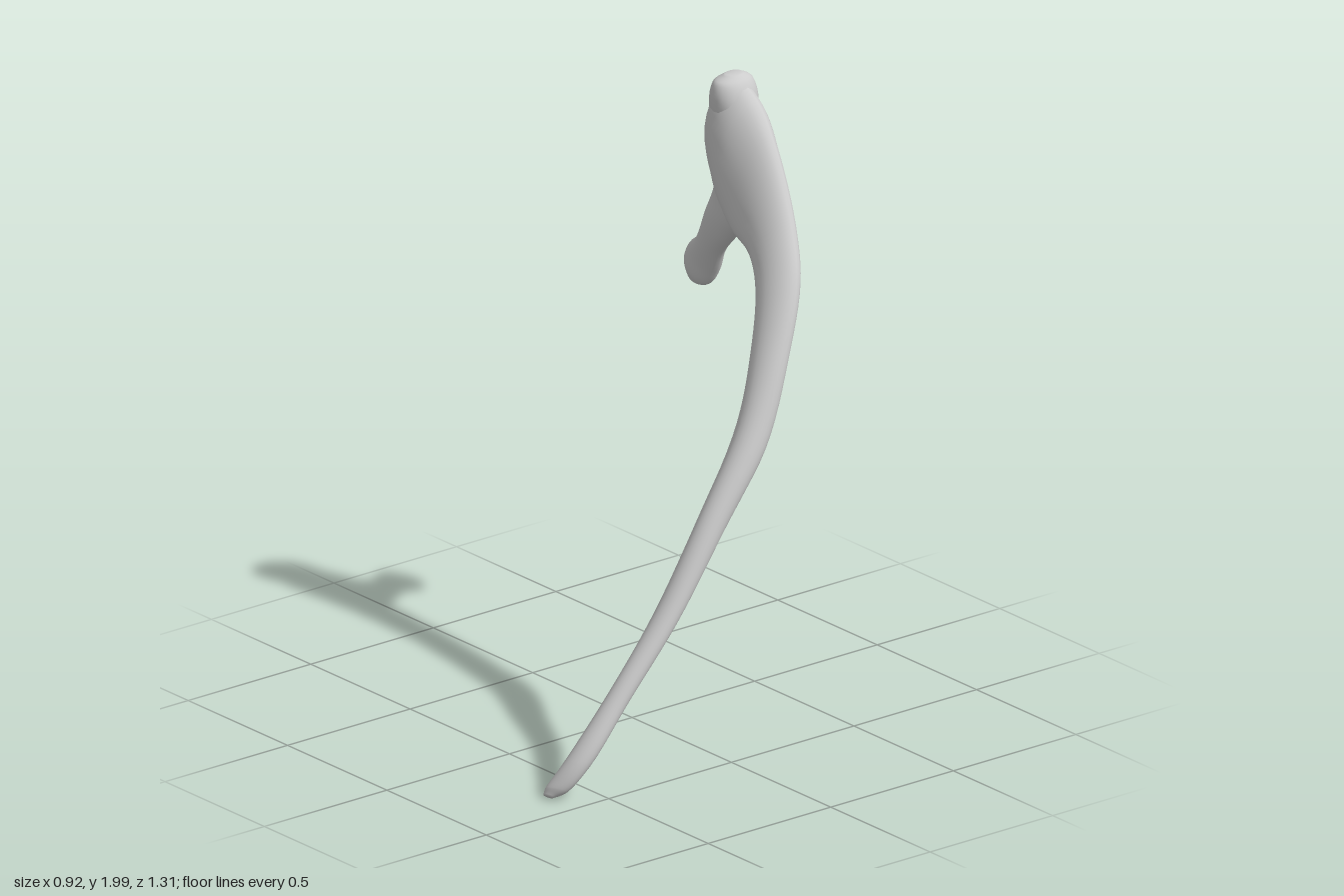
import * as THREE from 'three';

const material = new THREE.MeshStandardMaterial({ color: 0xcccccc });
const V = (x, y, z) => new THREE.Vector3(x, y, z);

// Lofts oval sections, each given by its two edge points and its half thickness.
function loft(name, sections, steps = 6, sides = 24) {
  const spline = (f) => new THREE.CatmullRomCurve3(sections.map(f));
  const edgeA = spline((s) => V(s[0], s[1], s[2]));
  const edgeB = spline((s) => V(s[3], s[4], s[5]));
  const middle = spline((s) => V(s[0] + s[3], s[1] + s[4], s[2] + s[5]).multiplyScalar(0.5));
  const thick = spline((s, i) => V(i * 0.1, s[6], 0));
  const rings = (sections.length - 1) * steps;
  const positions = [], index = [];
  for (let i = 0; i <= rings; i++) {
    const u = i / rings;
    const a = edgeA.getPoint(u), b = edgeB.getPoint(u);
    const centre = a.clone().add(b).multiplyScalar(0.5);
    const wide = a.sub(b).multiplyScalar(0.5);
    const thin = middle.getTangent(u).cross(wide).normalize().multiplyScalar(Math.max(0.002, thick.getPoint(u).y));
    for (let j = 0; j < sides; j++) {
      const t = (j / sides) * Math.PI * 2;
      const p = centre.clone().addScaledVector(wide, Math.cos(t)).addScaledVector(thin, Math.sin(t));
      positions.push(p.x, p.y, p.z);
      if (i < rings) {
        const k = i * sides, n = (j + 1) % sides;
        index.push(k + j, k + n, k + sides + j, k + n, k + sides + n, k + sides + j);
      }
    }
  }
  // Close both ends with a fan.
  for (const ring of [0, rings]) {
    const pole = positions.length / 3, k = ring * sides, c = V(0, 0, 0);
    for (let j = 0; j < sides; j++) c.add(V(...positions.slice((k + j) * 3, (k + j) * 3 + 3)));
    c.divideScalar(sides);
    positions.push(c.x, c.y, c.z);
    for (let j = 0; j < sides; j++) {
      const n = (j + 1) % sides;
      if (ring === 0) index.push(pole, k + n, k + j);
      else index.push(pole, k + j, k + n);
    }
  }
  const geometry = new THREE.BufferGeometry();
  geometry.setAttribute('position', new THREE.Float32BufferAttribute(positions, 3));
  geometry.setIndex(index);
  geometry.computeVertexNormals();
  const mesh = new THREE.Mesh(geometry, material);
  mesh.name = name;
  return mesh;
}

export function createModel() {
  const group = new THREE.Group();
  group.name = 'ribBone';

  // Long curved shaft, widening into the blade at the top: outer edge, inner edge, half thickness
  group.add(loft('shaft', [
    [0.395, 0.01, 0.645, 0.362, 0.012, 0.655, 0.01],
    [0.427, 0.035, 0.61, 0.356, 0.03, 0.64, 0.024],
    [0.456, 0.12, 0.54, 0.372, 0.1, 0.58, 0.033],
    [0.457, 0.3, 0.385, 0.385, 0.3, 0.405, 0.033],
    [0.457, 0.52, 0.195, 0.37, 0.52, 0.2, 0.037],
    [0.442, 0.78, -0.01, 0.35, 0.79, 0.005, 0.047],
    [0.418, 1.0, -0.205, 0.31, 1.06, -0.18, 0.054],
    [0.37, 1.26, -0.335, 0.25, 1.25, -0.285, 0.048],
    [0.3, 1.47, -0.44, 0.17, 1.42, -0.37, 0.046],
    [0.2, 1.62, -0.5, 0.08, 1.5, -0.418, 0.05],
    [0.03, 1.82, -0.56, -0.04, 1.535, -0.45, 0.06],
    [-0.1, 1.93, -0.59, -0.15, 1.6, -0.49, 0.08],
    [-0.19, 1.98, -0.58, -0.24, 1.7, -0.54, 0.075],
    [-0.235, 1.93, -0.58, -0.258, 1.8, -0.56, 0.045],
  ]));

  // Head and neck plate running down to the knobbed end: inner edge, outer edge, half thickness
  group.add(loft('headAndNeck', [
    [-0.22, 1.998, -0.575, -0.18, 1.998, -0.575, 0.03],
    [-0.25, 1.975, -0.575, -0.15, 1.975, -0.575, 0.07],
    [-0.264, 1.92, -0.575, -0.125, 1.92, -0.57, 0.083],
    [-0.266, 1.83, -0.58, -0.11, 1.82, -0.555, 0.07],
    [-0.268, 1.7, -0.585, -0.08, 1.66, -0.53, 0.053],
    [-0.28, 1.59, -0.575, -0.06, 1.55, -0.515, 0.042],
    [-0.31, 1.51, -0.565, -0.15, 1.46, -0.54, 0.04],
    [-0.37, 1.4, -0.58, -0.245, 1.37, -0.565, 0.04],
    [-0.435, 1.35, -0.605, -0.298, 1.285, -0.582, 0.046],
    [-0.462, 1.3, -0.61, -0.335, 1.235, -0.582, 0.044],
    [-0.445, 1.245, -0.605, -0.365, 1.222, -0.585, 0.028],
    [-0.42, 1.232, -0.6, -0.385, 1.223, -0.59, 0.01],
  ]));
  return group;
}
